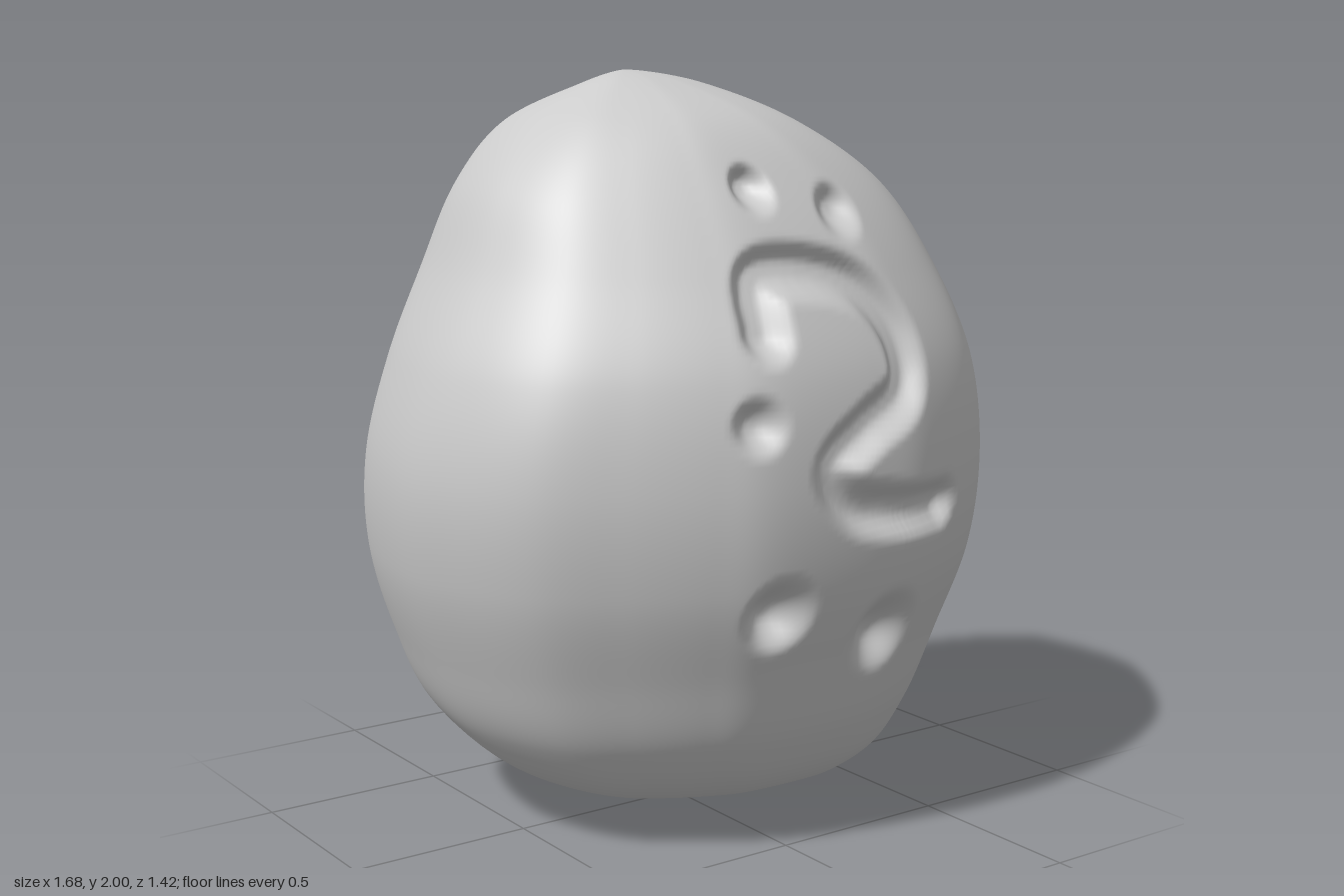
import * as THREE from 'three';

const ROWS = 190, COLS = 190;

// Extents of the stone at equal steps of the angle from bottom to top.
const spline = (list) => new THREE.SplineCurve(list.map(([a, b]) => new THREE.Vector2(a, b)));
const sideExtents = spline([ // [left edge, right edge] along x
  [0.2, 0.2], [-0.12, 0.44], [-0.45, 0.57], [-0.64, 0.665], [-0.74, 0.745], [-0.815, 0.82], [-0.835, 0.835],
  [-0.78, 0.795], [-0.67, 0.705], [-0.575, 0.575], [-0.43, 0.34], [-0.25, 0.08], [-0.12, -0.12],
]);
const depthExtents = spline([ // [back edge, front edge] along z
  [0, 0], [-0.18, 0.16], [-0.42, 0.41], [-0.615, 0.54], [-0.68, 0.615], [-0.71, 0.69], [-0.67, 0.71],
  [-0.605, 0.675], [-0.555, 0.565], [-0.475, 0.435], [-0.38, 0.29], [-0.15, 0.09], [-0.06, -0.06],
]);

// Unit cross-section: back, +x side, front, -x side.
const section = new THREE.CatmullRomCurve3([
  [-0.1, -1], [0.24, -0.93], [0.6, -0.81], [0.87, -0.64], [0.96, -0.48], [1, -0.2], [1, 0.2], [0.93, 0.46],
  [0.72, 0.77], [0.39, 0.96], [0.15, 1], [-0.2, 0.98], [-0.4, 0.9], [-0.63, 0.75], [-0.84, 0.55],
  [-0.96, 0.26], [-1, -0.08], [-0.9, -0.56], [-0.7, -0.81], [-0.4, -0.95],
].map(([x, z]) => new THREE.Vector3(x, 0, z)), true, 'catmullrom', 0.5);

// Winding groove carved in the front.
const groove = spline([
  [-0.16, 1.37], [-0.13, 1.5], [0.02, 1.51], [0.16, 1.46], [0.24, 1.34], [0.23, 1.21],
  [0.1, 1.13], [-0.01, 1.04], [0.06, 0.94], [0.2, 0.91], [0.37, 0.9],
]).getPoints(90);

// Pits: x, y, radius, depth.
const pits = [
  [-0.07, 1.71, 0.07, 0.06], [0.17, 1.65, 0.08, 0.05], [-0.22, 1.16, 0.08, 0.05],
  [-0.15, 0.68, 0.11, 0.08], [0.21, 0.58, 0.13, 0.08],
];

const falloff = (d, inner, outer) => 1 - THREE.MathUtils.smoothstep(d, inner, outer);

function carving(x, y) {
  let depth = 0;
  for (const [px, py, r, h] of pits) {
    depth = Math.max(depth, h * falloff(Math.hypot(x - px, y - py), 0.01, r));
  }
  if (Math.abs(x) < 0.5 && y > 0.75 && y < 1.65) {
    let d = 1;
    for (const p of groove) d = Math.min(d, Math.hypot(x - p.x, y - p.y));
    depth = Math.max(depth, 0.055 * falloff(d, 0.015, 0.08));
  }
  return depth;
}

function stoneGeometry() {
  const positions = [], index = [];

  // Columns are packed closer on the carved front.
  const ring = [];
  for (let j = 0; j < COLS; j++) {
    const t = j / COLS;
    ring.push(section.getPoint(t + 0.6 * Math.sin(2 * Math.PI * t) / (2 * Math.PI)));
  }

  positions.push(0.2, 0, 0); // bottom pole
  for (let i = 1; i < ROWS; i++) {
    const t = i / ROWS;
    const y = 1 - Math.cos(Math.PI * t);
    const ex = sideExtents.getPoint(t), ez = depthExtents.getPoint(t);
    for (const p of ring) {
      const x = (ex.x + ex.y) / 2 + p.x * (ex.y - ex.x) / 2;
      const z = (ez.x + ez.y) / 2 + p.z * (ez.y - ez.x) / 2;
      positions.push(x, y, p.z > 0.3 ? z - carving(x, y) : z);
    }
  }
  positions.push(-0.12, 2, -0.06); // top pole

  const top = positions.length / 3 - 1;
  const at = (i, j) => 1 + i * COLS + (j % COLS);
  for (let j = 0; j < COLS; j++) {
    index.push(0, at(0, j), at(0, j + 1));
    index.push(top, at(ROWS - 2, j + 1), at(ROWS - 2, j));
    for (let i = 0; i < ROWS - 2; i++) {
      const a = at(i, j), b = at(i, j + 1), c = at(i + 1, j), d = at(i + 1, j + 1);
      index.push(a, c, b, b, c, d);
    }
  }

  const geometry = new THREE.BufferGeometry();
  geometry.setAttribute('position', new THREE.Float32BufferAttribute(positions, 3));
  geometry.setIndex(index);
  geometry.computeVertexNormals();
  return geometry;
}

export function createModel() {
  const group = new THREE.Group();
  group.name = 'carvedStone';
  const stone = new THREE.Mesh(stoneGeometry(), new THREE.MeshStandardMaterial({ color: 0xcccccc }));
  stone.name = 'stone';
  group.add(stone);
  return group;
}
